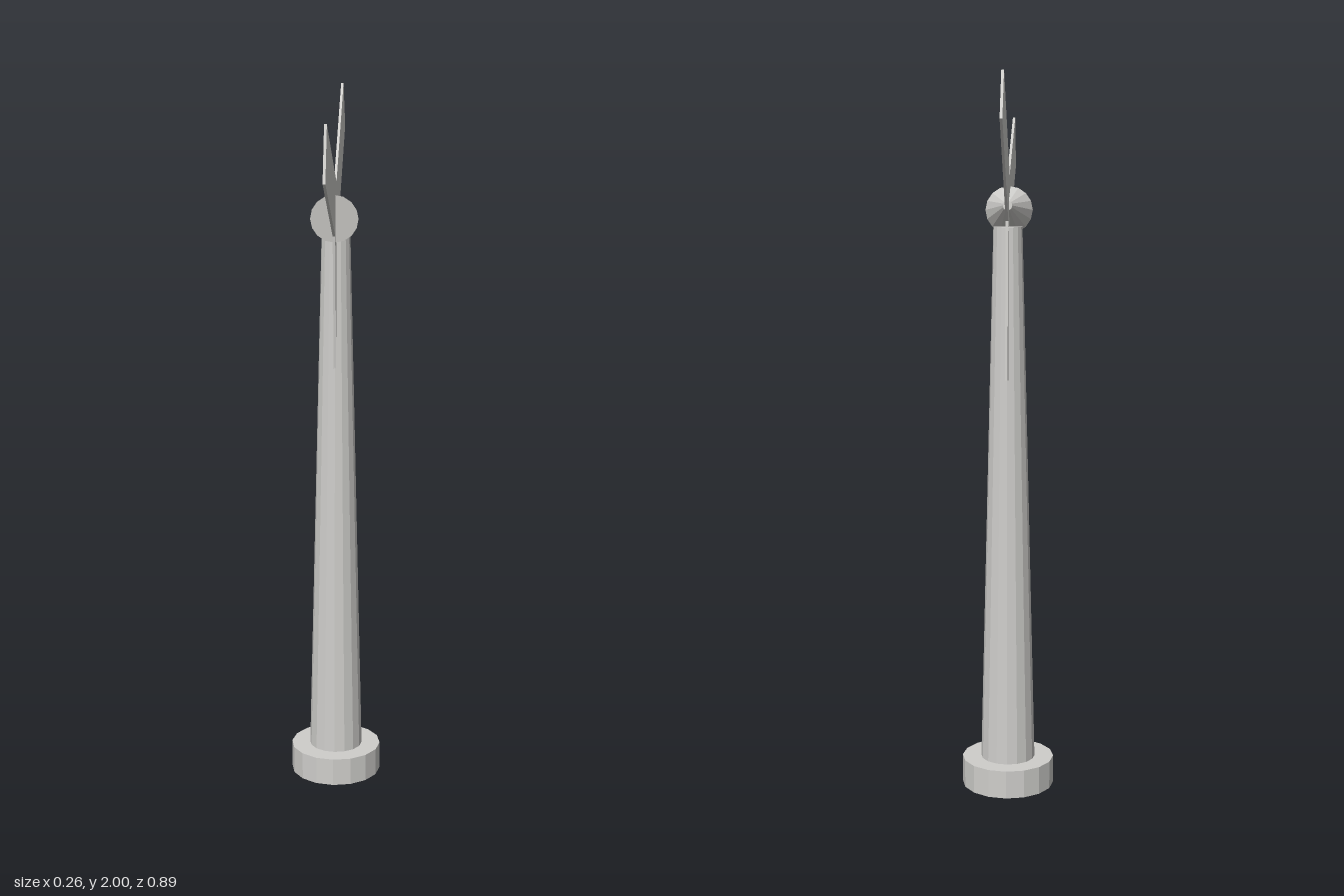
import * as THREE from 'three';

export function createModel() {
  const model = new THREE.Group();
  const paleGrey = new THREE.MeshStandardMaterial({ color: 0xcfcecb, flatShading: true });
  paleGrey.name = 'paleGrey';

  const add = (name, geometry, x, y, z) => {
    const mesh = new THREE.Mesh(geometry, paleGrey);
    mesh.name = name;
    mesh.position.set(x, y, z);
    model.add(mesh);
    return mesh;
  };

  // Round foundation and tapered tower
  const towerZ = -0.05;
  add('foundation', new THREE.CylinderGeometry(0.131, 0.131, 0.08, 16), 0, 0.04, towerZ);
  add('tower', new THREE.CylinderGeometry(0.04, 0.077, 1.52, 16), 0, 0.84, towerZ);

  // Cone-shaped hub, narrow end to the back and tilted slightly up
  const hub = add('hub', new THREE.CylinderGeometry(0.013, 0.066, 0.105, 16), 0, 1.651, -0.023);
  hub.rotation.x = THREE.MathUtils.degToRad(-82);

  // Three blades joined in one thin plate, standing in the x = 0 plane
  const halfWidth = 0.077;
  const inner = halfWidth / Math.sqrt(3);
  const outer = inner + 0.431;
  const points = [];
  for (let i = 0; i < 3; i++) {
    const a = THREE.MathUtils.degToRad(22.8 + 120 * i);
    const corner = (r, s) =>
      new THREE.Vector2(Math.cos(a) * r - Math.sin(a) * s, Math.sin(a) * r + Math.cos(a) * s);
    // the last inner corner is shared with the next blade
    points.push(corner(inner, -halfWidth), corner(outer, -halfWidth), corner(outer, halfWidth));
  }
  const thickness = 0.007;
  const plate = new THREE.ExtrudeGeometry(new THREE.Shape(points), { depth: thickness, bevelEnabled: false });
  plate.translate(0, 0, -thickness / 2);
  plate.rotateY(-Math.PI / 2);
  add('blades', plate, 0, 1.652, -0.025);

  return model;
}
